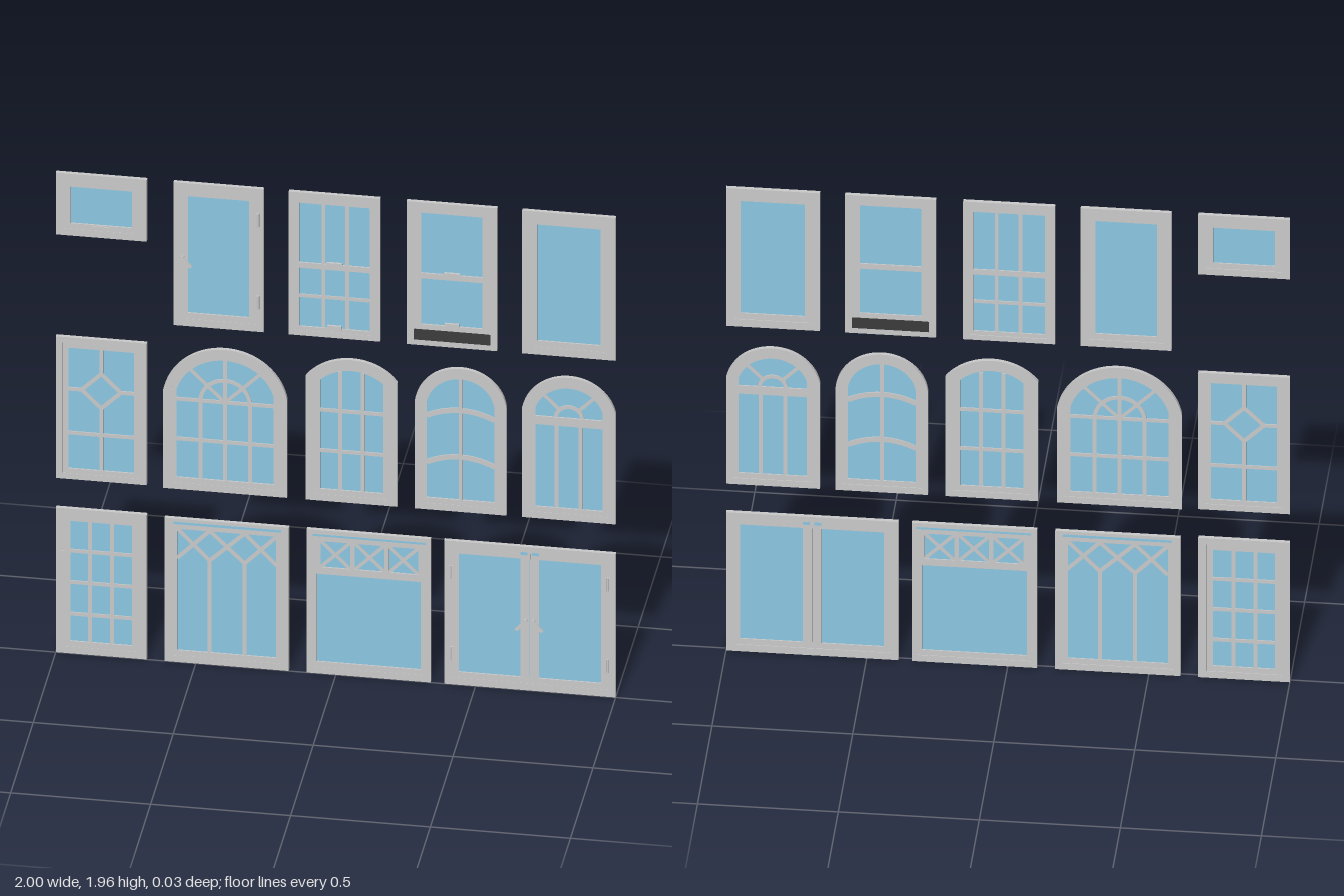
import * as THREE from 'three';

const grey = new THREE.MeshStandardMaterial({ color: 0xcccccc });
const glassMat = new THREE.MeshStandardMaterial({ color: 0x8cc8e4 });
const darkMat = new THREE.MeshStandardMaterial({ color: 0x3c3c3c });
const Q = Math.PI / 4;

function add(g, name, geo, mat = grey) {
  const m = new THREE.Mesh(geo, mat);
  m.name = name;
  g.add(m);
  return m;
}

// Flat shape pushed out between two depths
function slab(g, name, shape, z0, z1, mat = grey) {
  const geo = new THREE.ExtrudeGeometry(shape, { depth: z1 - z0, bevelEnabled: false, curveSegments: 20 });
  geo.translate(0, 0, z0);
  return add(g, name, geo, mat);
}

// Straight bar between two points
function bar(g, name, x1, y1, x2, y2, w = 0.014, z0 = -0.0115, z1 = -0.003, mat = grey) {
  const geo = new THREE.BoxGeometry(Math.hypot(x2 - x1, y2 - y1), w, z1 - z0);
  geo.rotateZ(Math.atan2(y2 - y1, x2 - x1));
  geo.translate((x1 + x2) / 2, (y1 + y2) / 2, (z0 + z1) / 2);
  return add(g, name, geo, mat);
}

// Curved bar along a circle
function arcBar(g, name, cx, cy, r, a0, a1, w = 0.014) {
  const s = new THREE.Shape();
  s.absarc(cx, cy, r + w / 2, a0, a1, false);
  s.absarc(cx, cy, r - w / 2, a1, a0, true);
  slab(g, name, s, -0.0115, -0.003);
}

const rect = (x0, y0, x1, y1) => new THREE.Shape([[x0, y0], [x1, y0], [x1, y1], [x0, y1]].map(p => new THREE.Vector2(...p)));

// Opening outline, optionally with a circular arch, inset by i = [side, bottom, top]
function outline(x0, y0, x1, y1, rise, [s, b, t]) {
  if (!rise) return rect(x0 + s, y0 + b, x1 - s, y1 - t);
  const cx = (x0 + x1) / 2, h = (x1 - x0) / 2, R = (h * h + rise * rise) / (2 * rise);
  const cy = y1 - R, r = R - t, a = Math.acos(Math.min(1, (h - s) / r));
  const shape = new THREE.Shape();
  shape.moveTo(x0 + s, y0 + b);
  shape.lineTo(x1 - s, y0 + b);
  shape.absarc(cx, cy, r, a, Math.PI - a, false);
  shape.closePath();
  return shape;
}

function ring(g, name, outer, inner, z0, z1) {
  outer.holes.push(new THREE.Path(inner.getPoints(20)));
  slab(g, name, outer, z0, z1);
}

// Casing, recessed sash and pane shared by every window
function makeWindow(root, name, x0, y0, x1, y1, inset, rise = 0) {
  const g = new THREE.Group();
  g.name = name;
  root.add(g);
  const at = i => outline(x0, y0, x1, y1, rise, i);
  const mid = inset.map(v => v * 0.55);
  ring(g, 'casing', at([0, 0, 0]), at(mid), -0.015, 0);
  ring(g, 'sash', at(mid), at(inset), -0.0125, -0.001);
  slab(g, 'pane', at(inset.map(v => v * 0.9)), -0.008, -0.0065, glassMat);
  return g;
}

function grid(g, xs, ys, x0, y0, x1, y1, w) {
  for (const x of xs) bar(g, 'verticalMuntin', x, y0, x, y1, w);
  for (const y of ys) bar(g, 'horizontalMuntin', x0, y, x1, y, w);
}

// Crossed bars filling a cell
function cross(g, x0, y0, x1, y1, w) {
  bar(g, 'latticeBar', x0, y0, x1, y1, w);
  bar(g, 'latticeBar', x0, y1, x1, y0, w, -0.0113, -0.0032);
}

function spokes(g, cx, cy, r0, r1, angles) {
  for (const a of angles)
    bar(g, 'fanSpoke', cx + r0 * Math.cos(a), cy + r0 * Math.sin(a), cx + r1 * Math.cos(a), cy + r1 * Math.sin(a), 0.012);
}

function hinge(g, x, y) {
  bar(g, 'hingeLeaf', x, y - 0.026, x, y + 0.026, 0.016, -0.002, 0.003);
  const pin = new THREE.CylinderGeometry(0.004, 0.004, 0.054, 10);
  pin.translate(x, y, 0.003);
  add(g, 'hingePin', pin);
}

// Lever starts over its pivot and slopes down to (x2, y2)
function lever(g, x, y, x2, y2) {
  const pivot = new THREE.CylinderGeometry(0.006, 0.006, 0.013, 12);
  pivot.rotateX(Math.PI / 2).translate(x, y, 0.0055);
  add(g, 'handlePivot', pivot);
  bar(g, 'handleLever', x, y, x2, y2, 0.012, 0.009, 0.015);
}

// Meeting rail with latch, and lift at the bottom
function slidingParts(g, cx, x0, x1, yMid, yLow) {
  bar(g, 'meetingRail', x0, yMid, x1, yMid, 0.022, -0.0125, -0.001);
  bar(g, 'latch', cx - 0.028, yMid + 0.012, cx + 0.028, yMid + 0.012, 0.014, -0.007, 0.002);
  bar(g, 'lift', cx - 0.025, yLow, cx + 0.025, yLow, 0.016, -0.006, 0.002);
}

export function createModel() {
  const root = new THREE.Group();
  root.name = 'windowSet';
  const T = 1.957, B = 1.374;

  // Top row
  let g = makeWindow(root, 'awningWindow', -1, 1.705, -0.675, T, [0.053, 0.05, 0.053]);
  bar(g, 'latch', -0.87, 1.745, -0.81, 1.745, 0.012, -0.004, 0.002);

  g = makeWindow(root, 'casementWindow', -0.58, B, -0.258, T, [0.052, 0.054, 0.053]);
  lever(g, -0.547, 1.655, -0.515, 1.622);
  for (const y of [1.83, 1.495]) hinge(g, -0.279, y);

  g = makeWindow(root, 'griddedSlidingWindow', -0.168, B, 0.158, T, [0.037, 0.037, 0.043]);
  grid(g, [-0.045, 0.04], [1.535], -0.135, 1.408, 0.125, 1.917, 0.013);
  slidingParts(g, -0.005, -0.135, 0.125, 1.66, 1.415);

  g = makeWindow(root, 'ventSlidingWindow', 0.254, B, 0.577, T, [0.052, 0.085, 0.043]);
  slidingParts(g, 0.416, 0.304, 0.53, 1.657, 1.462);
  bar(g, 'vent', 0.28, 1.417, 0.553, 1.417, 0.043, -0.0155, 0.001, darkMat);

  makeWindow(root, 'fixedWindow', 0.666, B, 1, T, [0.054, 0.056, 0.053]);

  // Middle row
  g = makeWindow(root, 'diamondWindow', -1, 0.711, -0.675, 1.289, [0.045, 0.043, 0.043]);
  const dx = -0.838, dy = 1.077, d = 0.07;
  bar(g, 'verticalMuntin', dx, 1.25, dx, dy + d);
  bar(g, 'verticalMuntin', dx, 0.75, dx, dy - d);
  for (const s of [-1, 1]) {
    bar(g, 'horizontalMuntin', dx + s * d, dy, dx + s * 0.121, dy);
    for (const t of [-1, 1]) bar(g, 'diamondBar', dx + s * d, dy, dx, dy + t * d);
  }
  bar(g, 'horizontalMuntin', -0.958, 0.898, -0.717, 0.898);

  g = makeWindow(root, 'wideArchWindow', -0.617, 0.706, -0.174, 1.289, [0.048, 0.048, 0.045], 0.185);
  grid(g, [-0.484, -0.307], [1.072, 0.91], -0.572, 0.75, -0.219, 1.072);
  bar(g, 'verticalMuntin', -0.396, 0.75, -0.396, 1.25);
  arcBar(g, 'fanArc', -0.396, 1.072, 0.088, 0, Math.PI);
  spokes(g, -0.396, 1.072, 0, 0.185, [Q, 3 * Q]);

  g = makeWindow(root, 'lowArchWindow', -0.108, 0.706, 0.221, 1.289, [0.052, 0.048, 0.045], 0.08);
  grid(g, [0.015, 0.096], [1.075, 0.91], -0.06, 0.75, 0.172, 1.235);

  g = makeWindow(root, 'curvedBarWindow', 0.283, 0.706, 0.61, 1.289, [0.043, 0.048, 0.043], 0.145);
  bar(g, 'verticalMuntin', 0.4465, 0.75, 0.4465, 1.25);
  for (const y of [1.117, 0.927]) {
    const a = Math.asin(0.122 / 0.26);
    arcBar(g, 'curvedMuntin', 0.4465, y - 0.26, 0.26, 2 * Q - a, 2 * Q + a, 0.02);
  }

  g = makeWindow(root, 'fanArchWindow', 0.666, 0.706, 1, 1.289, [0.047, 0.048, 0.045], 0.135);
  grid(g, [0.789, 0.875], [], 0, 0.75, 0, 1.1);
  bar(g, 'transom', 0.71, 1.106, 0.955, 1.106, 0.034, -0.0125, -0.001);
  arcBar(g, 'fanArc', 0.833, 1.12, 0.047, 0, Math.PI);
  spokes(g, 0.833, 1.12, 0.047, 0.135, [Q, 3 * Q]);

  // Bottom row
  g = makeWindow(root, 'twelvePaneWindow', -1, 0, -0.675, 0.59, [0.052, 0.05, 0.05]);
  grid(g, [-0.878, -0.8], [0.417, 0.289, 0.16], -0.952, 0.045, -0.723, 0.545);
  bar(g, 'latch', -0.977, 0.39, -0.977, 0.418, 0.009, -0.002, 0.004);

  g = makeWindow(root, 'latticeWindow', -0.612, 0, -0.168, 0.585, [0.045, 0.048, 0.042]);
  const lx = [-0.567, -0.451, -0.326, -0.21];
  grid(g, [lx[1], lx[2]], [], 0, 0.045, 0, 0.422);
  for (let i = 0; i < 3; i++) cross(g, lx[i], 0.422, lx[i + 1], 0.543);
  bar(g, 'topStrip', -0.58, 0.567, -0.195, 0.567, 0.01, -0.0155, 0.0005, glassMat);

  g = makeWindow(root, 'crossTransomWindow', -0.104, 0, 0.34, 0.585, [0.036, 0.048, 0.045]);
  bar(g, 'transom', -0.07, 0.42, 0.306, 0.42, 0.028, -0.0125, -0.001);
  for (let i = 0; i < 3; i++) {
    const x = -0.056 + i * 0.122;
    cross(g, x, 0.432, x + 0.108, 0.541, 0.012);
  }
  for (const x of [-0.063, 0.059, 0.181, 0.303]) bar(g, 'transomPost', x, 0.43, x, 0.542, 0.016, -0.0125, -0.001);
  bar(g, 'topStrip', -0.083, 0.564, 0.323, 0.564, 0.008, -0.0155, 0.0005, glassMat);

  g = makeWindow(root, 'doubleCasementWindow', 0.388, 0, 1, 0.585, [0.052, 0.052, 0.05]);
  for (const s of [-1, 1]) {
    bar(g, 'meetingStile', 0.693 + s * 0.017, 0.048, 0.693 + s * 0.017, 0.54, 0.032, -0.0125, -0.001);
    lever(g, 0.693 + s * 0.014, 0.286, 0.693 + s * 0.047, 0.25);
    for (const y of [0.46, 0.128]) hinge(g, 0.693 + s * 0.28, y);
    bar(g, 'topStrip', 0.693 + s * 0.008, 0.557, 0.693 + s * 0.033, 0.557, 0.012, -0.0155, 0.0005, glassMat);
  }
  bar(g, 'topLatch', 0.693, 0.535, 0.693, 0.56, 0.008, -0.004, 0.002);
  return root;
}
